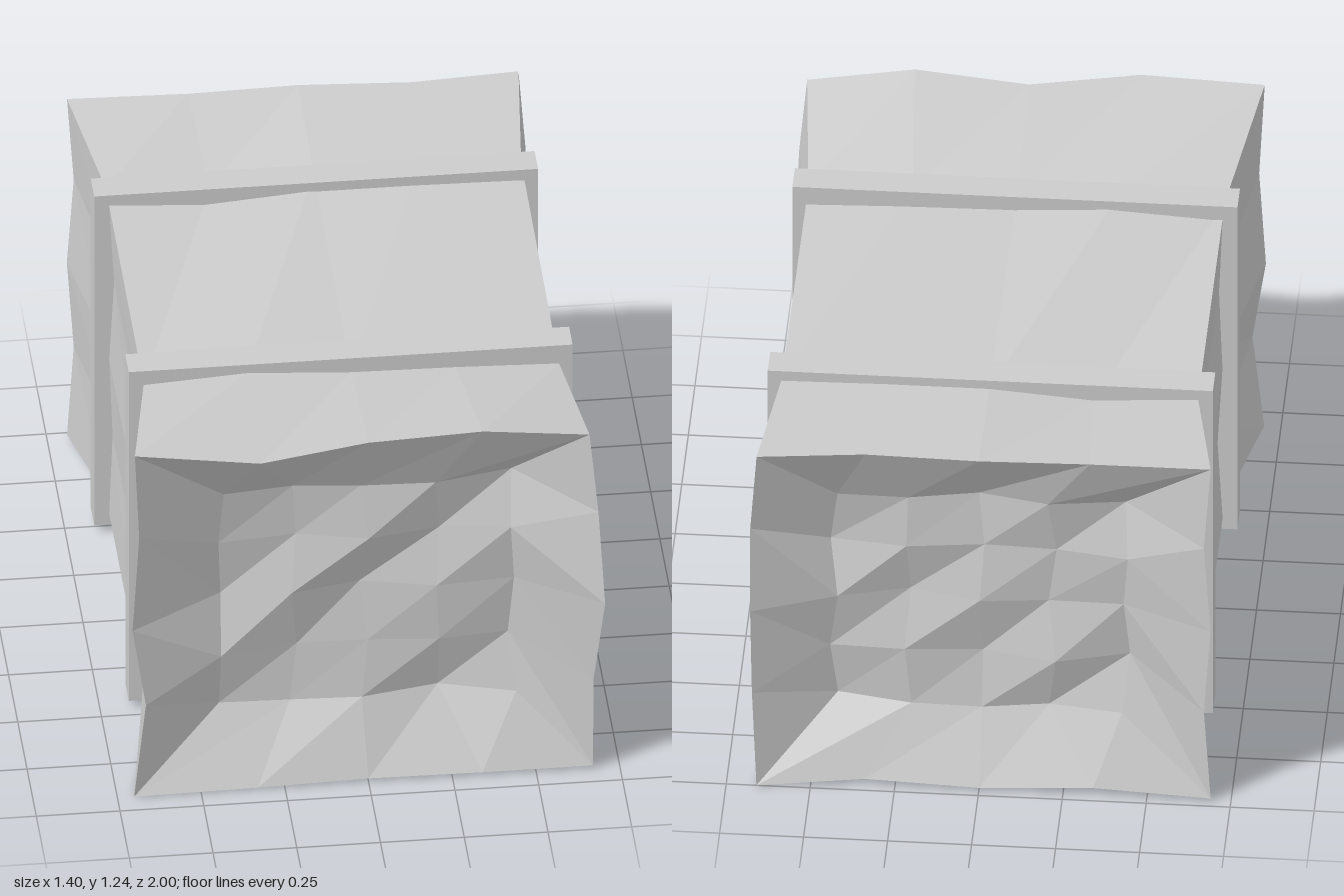
import * as THREE from 'three';

// Grid cells around the edge of a 5 x 5 patch, counter-clockwise from the front
const EDGE = [];
for (let i = 0; i < 4; i++) EDGE.push([i, 0]);
for (let i = 0; i < 4; i++) EDGE.push([4, i]);
for (let i = 4; i > 0; i--) EDGE.push([i, 4]);
for (let i = 4; i > 0; i--) EDGE.push([0, i]);

// Uneven mouths of the bale: 16 points each, bottom, +x side, top, -x side
const FRONT_RIM = [
  [-0.7, 0.005, 0.93], [-0.33, 0.01, 0.93], [0, 0.015, 0.925], [0.34, 0.015, 0.93],
  [0.67, 0.015, 0.93], [0.67, 0.33, 0.94], [0.7, 0.63, 0.985], [0.685, 0.93, 0.94],
  [0.66, 1.2, 0.925], [0.34, 1.245, 0.94], [0, 1.22, 0.925], [-0.33, 1.22, 1.0],
  [-0.7, 1.24, 0.95], [-0.685, 0.93, 0.93], [-0.705, 0.6, 0.93], [-0.665, 0.33, 0.93],
];
const BACK_RIM = [
  [-0.69, 0.015, -0.975], [-0.34, 0.03, -0.97], [0, 0.015, -0.975], [0.34, 0.025, -0.97],
  [0.66, 0.005, -1.0], [0.675, 0.33, -0.98], [0.68, 0.63, -0.985], [0.68, 0.93, -0.98],
  [0.66, 1.205, -0.995], [0.34, 1.21, -0.965], [0, 1.215, -0.98], [-0.33, 1.215, -0.97],
  [-0.69, 1.22, -0.975], [-0.67, 0.93, -0.975], [-0.69, 0.63, -0.98], [-0.67, 0.33, -0.975],
];

// Squeezed section under a band; tops and bottoms run from -x to +x
function waist(z, bottoms, tops, sides) {
  const xs = [-0.62, -0.31, 0, 0.31, 0.62], ys = [0, 0.34, 0.62, 0.9, 0];
  return EDGE.map(([i, j]) => {
    if (j === 0) return [xs[i], bottoms[i], z];
    if (j === 4) return [xs[i], tops[i], z];
    return [Math.sign(xs[i]) * sides[j], ys[j], z];
  });
}

// Dented end panel as a 5 x 5 grid
function panel(z, dir, phase) {
  const xs = [-0.43, -0.21, 0, 0.22, 0.44], ys = [0.24, 0.43, 0.63, 0.815, 0.995];
  return xs.map((x, i) => ys.map((y, j) => [
    x + 0.012 * Math.sin(j * 2.9 + i + phase),
    y + 0.008 * Math.sin(i * 1.7 + j + phase),
    z + dir * 0.025 * Math.sin(i * 2.6 + j * 4.1 + phase),
  ]));
}

function quad(out, a, b, c, d) {
  out.push(...a, ...b, ...c, ...a, ...c, ...d);
}

function loft(out, rings) {
  for (let r = 0; r < rings.length - 1; r++) {
    for (let i = 0; i < 16; i++) {
      const n = (i + 1) % 16;
      quad(out, rings[r][i], rings[r][n], rings[r + 1][n], rings[r + 1][i]);
    }
  }
}

function fillPanel(out, g, front) {
  for (let i = 0; i < 4; i++) {
    for (let j = 0; j < 4; j++) {
      const q = [g[i][j], g[i + 1][j], g[i + 1][j + 1], g[i][j + 1]];
      if (!front) q.reverse();
      quad(out, ...q);
    }
  }
}

function mesh(positions, material, name) {
  const geometry = new THREE.BufferGeometry();
  geometry.setAttribute('position', new THREE.Float32BufferAttribute(positions, 3));
  geometry.computeVertexNormals();
  const m = new THREE.Mesh(geometry, material);
  m.name = name;
  return m;
}

export function createModel() {
  const group = new THREE.Group();
  group.name = 'strappedBale';
  const grey = new THREE.MeshStandardMaterial({ color: 0xcccccc, flatShading: true });
  grey.name = 'light grey';

  // Body wall, pinched at the two bands and flared at both ends
  const wall = [];
  loft(wall, [
    BACK_RIM,
    waist(-0.56, [0.07, 0.09, 0.065, 0.09, 0.07], [1.175, 1.155, 1.18, 1.18, 1.175], [0, 0.61, 0.62, 0.605]),
    waist(0.46, [0.065, 0.08, 0.07, 0.09, 0.065], [1.16, 1.18, 1.16, 1.155, 1.145], [0, 0.605, 0.62, 0.61]),
    FRONT_RIM,
  ]);
  group.add(mesh(wall, grey, 'bodyWall'));

  // Recessed ends with sloping lips
  for (const front of [true, false]) {
    const grid = front ? panel(0.81, 1, 3.4) : panel(-0.86, -1, 1.2);
    const inner = EDGE.map(([i, j]) => grid[i][j]);
    const end = [];
    loft(end, front ? [FRONT_RIM, inner] : [inner, BACK_RIM]);
    fillPanel(end, grid, front);
    group.add(mesh(end, grey, front ? 'frontEnd' : 'backEnd'));
  }

  // Straps around the body
  for (const [name, z] of [['frontBand', 0.415], ['backBand', -0.517]]) {
    const band = new THREE.Mesh(new THREE.BoxGeometry(1.325, 1.18, 0.095), grey);
    band.name = name;
    band.position.set(-0.002, 0.62, z);
    group.add(band);
  }
  return group;
}
